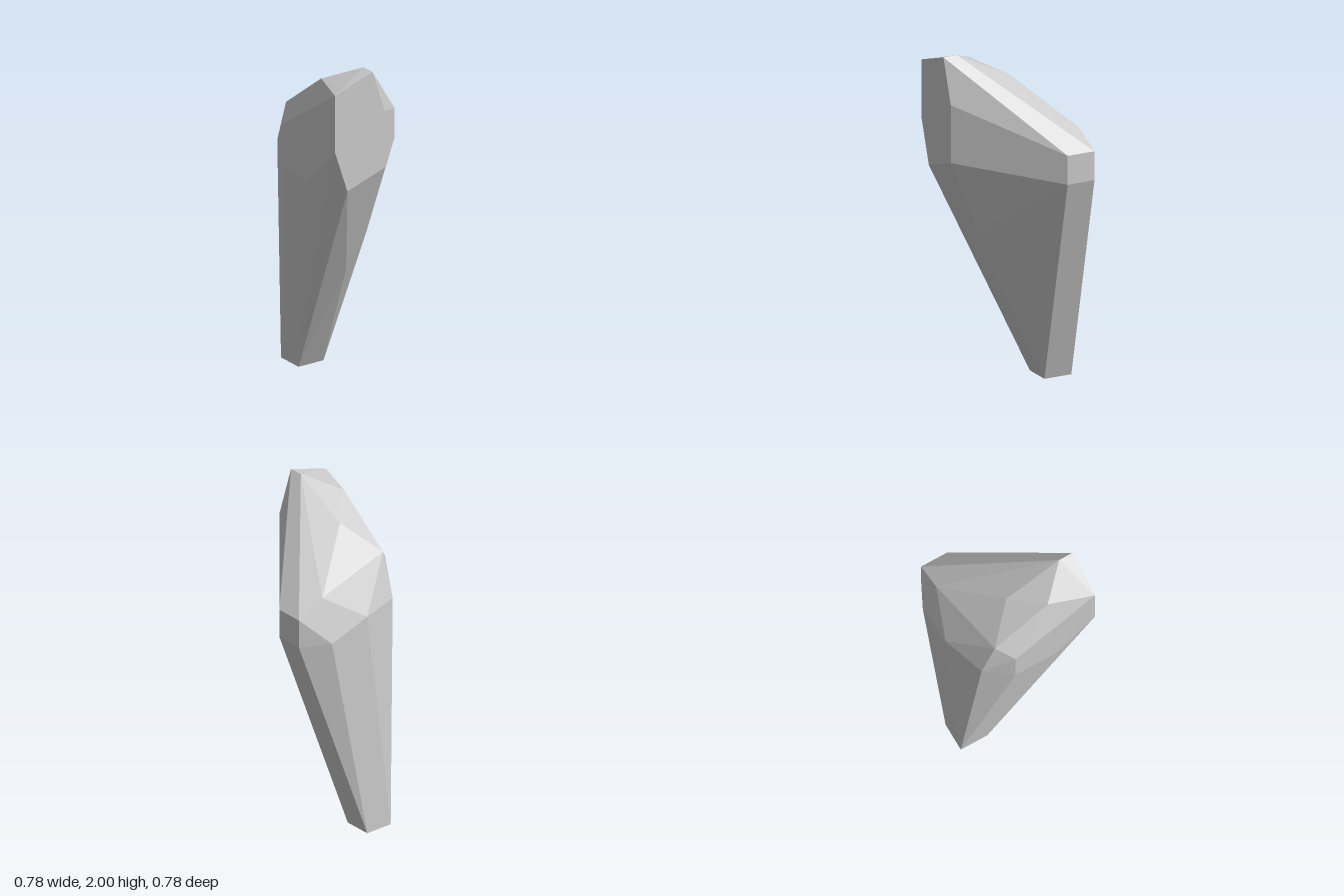
import * as THREE from 'three';
import { ConvexGeometry } from 'three/addons/geometries/ConvexGeometry.js';

// Corners sit on a regular lattice: 9 cells wide and deep, 23 cells high.
const CELL = 2 / 23;

// Each tier of the faceted stone: height in cells, then [x, z] corners in cells.
const TIERS = [
  [0, [[0, 5], [2, 5], [2, 7], [0, 7]]],                            // square foot
  [8, [[6, 6]]],                                                    // bulge on the sloping edge
  [11, [[7, 5]]],
  [15, [[1, 0], [3, 0], [0, 2], [3, 9], [6, 9], [9, 8]]],           // lower girdle
  [16, [[0, 5], [1, 8], [9, 5]]],
  [17, [[1, 0], [3, 0]]],                                           // back strip
  [18, [[1, 2], [3, 9], [9, 9]]],                                   // upper girdle
  [19, [[2, 8]]],
  [20, [[9, 5]]],
  [21, [[4, 6]]],                                                   // crown
  [22, [[6, 8], [9, 9]]],
  [23, [[8, 6], [9, 6]]],                                           // peak
];

export function createModel() {
  const group = new THREE.Group();
  group.name = 'facetedStone';

  const points = TIERS.flatMap(([y, corners]) =>
    corners.map(([x, z]) => new THREE.Vector3(x - 4.5, y, z - 4.5)));

  // The convex hull gives every facet its own flat normal
  const geometry = new ConvexGeometry(points);
  geometry.scale(CELL, CELL, CELL);

  const stone = new THREE.Mesh(
    geometry,
    new THREE.MeshStandardMaterial({ color: 0xcccccc, flatShading: true }),
  );
  stone.name = 'stoneShard';
  group.add(stone);
  return group;
}
